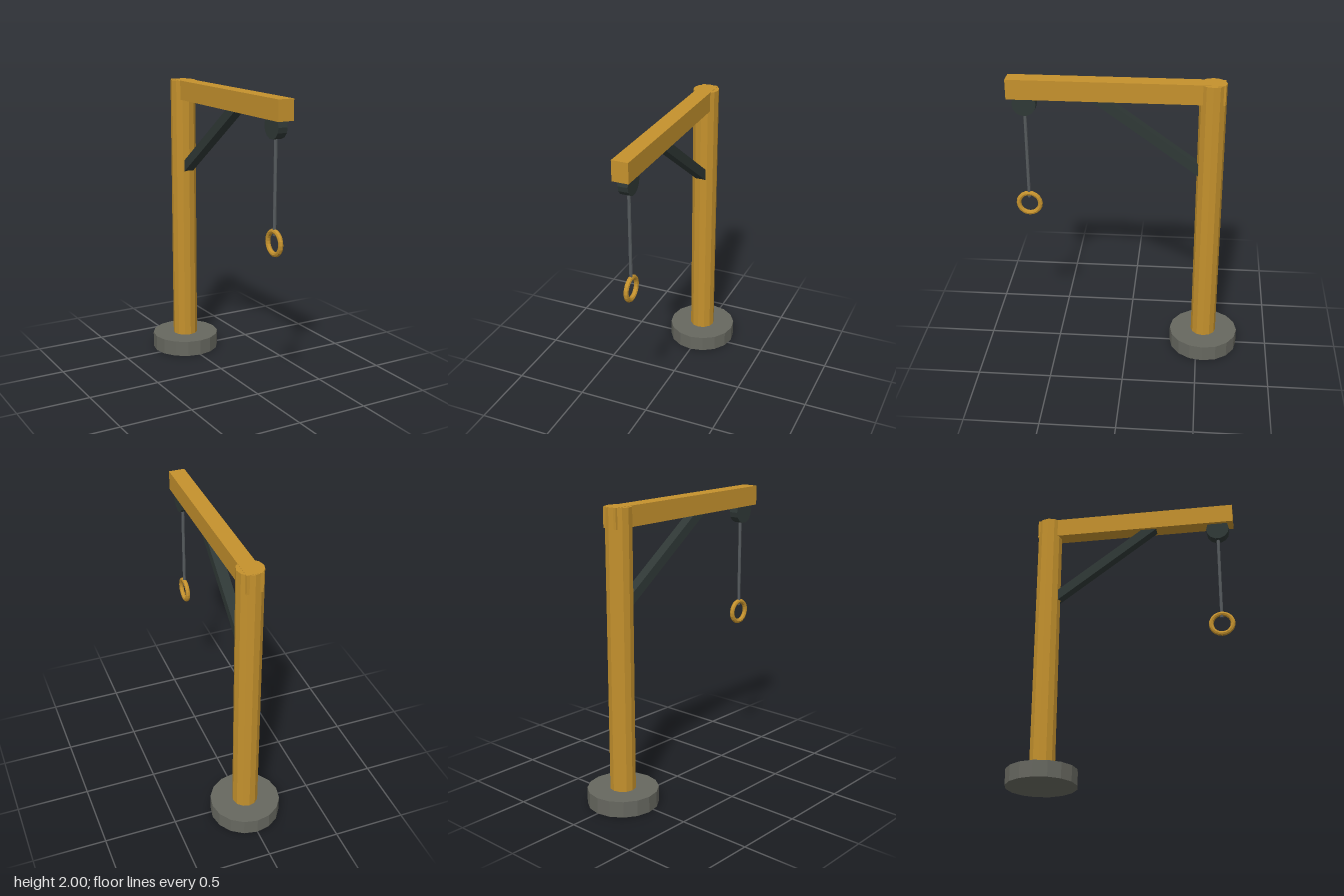
import * as THREE from 'three';

const mat = (name, color, flatShading = false) => {
  const m = new THREE.MeshStandardMaterial({ color, flatShading });
  m.name = name;
  return m;
};

export function createModel() {
  const group = new THREE.Group();
  const wood = mat('ochre wood', 0xc4912d, true);
  const stone = mat('grey stone', 0x66675f, true);
  const iron = mat('dark iron', 0x2f3836, true);
  const steel = mat('steel cable', 0x555a5d, true);

  const add = (name, geometry, material, x, y, z) => {
    const mesh = new THREE.Mesh(geometry, material);
    mesh.name = name;
    mesh.position.set(x, y, z);
    group.add(mesh);
    return mesh;
  };

  const postZ = -0.547, hookZ = 0.676;

  // Round foot and upright post
  add('base', new THREE.CylinderGeometry(0.24, 0.24, 0.11, 16), stone, 0, 0.055, postZ);
  add('post', new THREE.CylinderGeometry(0.088, 0.088, 1.898, 12), wood, 0, 1.049, postZ);

  // Horizontal arm, let into the top of the post
  const back = -0.626, front = 0.787;
  add('arm', new THREE.BoxGeometry(0.11, 0.134, front - back), wood, 0, 1.933, (front + back) / 2);

  // Diagonal brace, its ends sunk into post and arm
  const low = new THREE.Vector3(0, 1.375, -0.494);
  const high = new THREE.Vector3(0, 1.892, 0.22);
  const mid = low.clone().add(high).multiplyScalar(0.5);
  const brace = add('brace', new THREE.BoxGeometry(0.07, 0.065, low.distanceTo(high)), iron, 0, mid.y, mid.z);
  brace.rotation.x = -Math.atan2(high.y - low.y, high.z - low.z);

  // Pulley wheel with its axle along x
  const pulley = add('pulley', new THREE.CylinderGeometry(0.08, 0.08, 0.066, 14), iron, 0, 1.825, hookZ);
  pulley.rotation.z = Math.PI / 2;

  // Cable and hanging ring
  add('cable', new THREE.CylinderGeometry(0.011, 0.011, 0.68, 8), steel, 0, 1.476, hookZ);
  const ring = add('ring', new THREE.TorusGeometry(0.0745, 0.0165, 8, 20), wood, 0, 1.09, hookZ);
  ring.rotation.y = Math.PI / 2;

  return group;
}
